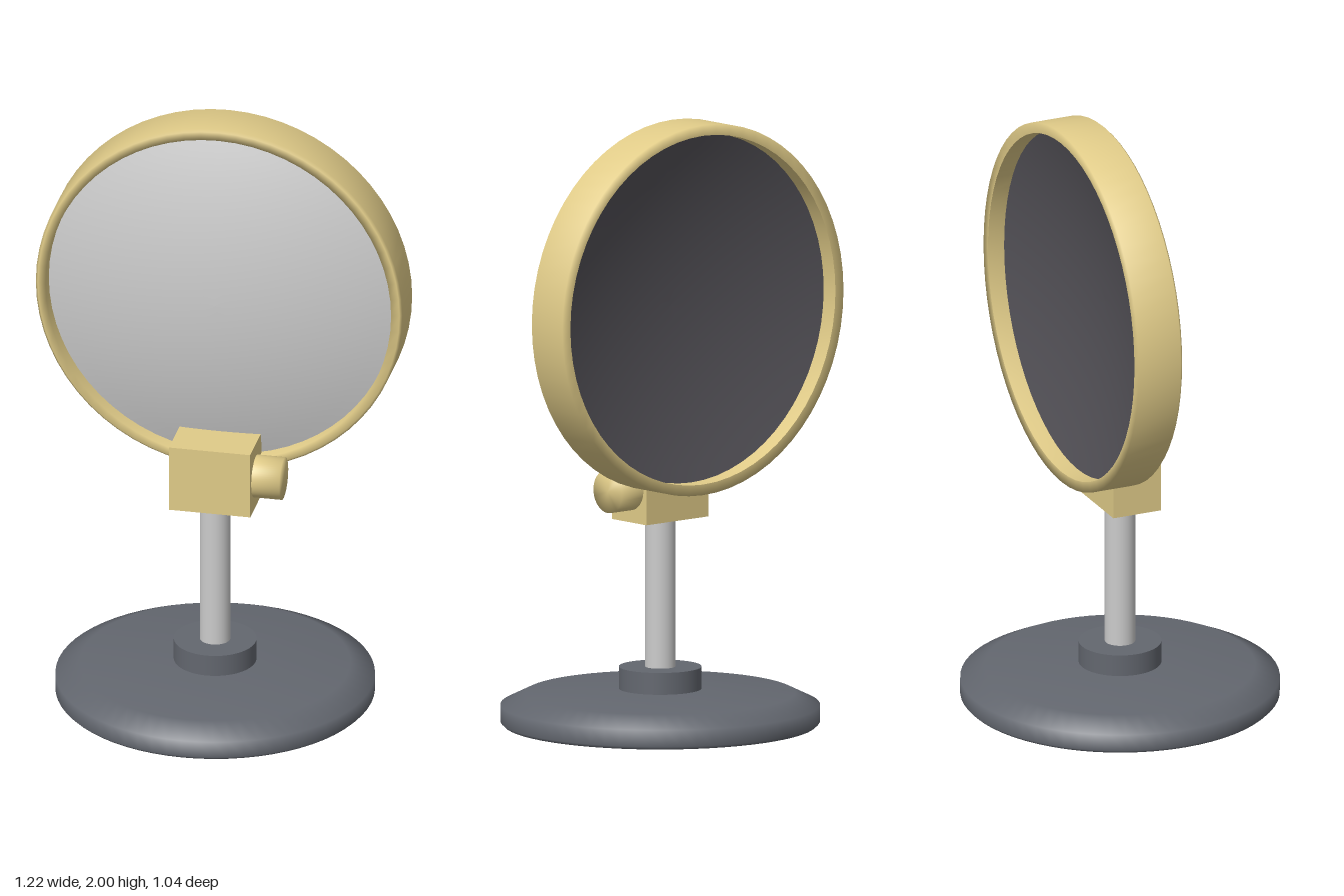
import * as THREE from 'three';

const mat = (color) => new THREE.MeshStandardMaterial({ color });
const SEG = 64;

export function createModel() {
  const group = new THREE.Group();
  const brass = mat(0xe0cb88), dark = mat(0x63676f), backing = mat(0x535157), grey = mat(0xcccccc);

  const add = (name, geometry, material, x = 0, y = 0, z = 0) => {
    const mesh = new THREE.Mesh(geometry, material);
    mesh.name = name;
    mesh.position.set(x, y, z);
    group.add(mesh);
    return mesh;
  };
  const lathe = (points) =>
    new THREE.LatheGeometry(points.map(([r, h]) => new THREE.Vector2(r, h)), SEG);

  // Weighted foot with a bevelled rim and a shallow conical top
  add('base', lathe([
    [0, 0], [0.51, 0], [0.52, 0.01], [0.52, 0.065], [0.44, 0.104], [0.14, 0.118], [0, 0.118],
  ]), dark);
  add('collar', new THREE.CylinderGeometry(0.135, 0.135, 0.09, 48), dark, 0, 0.145, 0);
  add('pole', new THREE.CylinderGeometry(0.05, 0.05, 0.56, 32), grey, 0, 0.45, 0);

  // Pivot block and its tightening knob on the left side
  add('pivotBlock', new THREE.BoxGeometry(0.27, 0.225, 0.17), brass, 0, 0.7925, 0);
  const knob = lathe([[0.07, 0], [0.07, 0.093], [0, 0.093]]);
  knob.rotateZ(-Math.PI / 2);
  add('knob', knob, brass, 0.135, 0.79, 0);

  // Mirror head: hoop, bulging glass and hollow backing share one axis along z
  const headY = 1.39, glassR = 0.578;
  const hoop = lathe([
    [0.575, -0.21], [0.61, -0.21], [0.61, -0.06], [0.602, -0.052],
    [0.575, -0.048], [0.575, -0.21],
  ]);
  const bulge = (r) => -(r * r) / 3.4;
  const steps = Array.from({ length: 13 }, (_, i) => (glassR * i) / 12);
  const glass = lathe(steps.map((r) => [r, bulge(r)]).reverse());
  const back = lathe(steps.map((r) => [r, bulge(r) - 0.055]));
  [['hoop', hoop, brass], ['mirrorGlass', glass, grey], ['mirrorBacking', back, backing]]
    .forEach(([name, geometry, material]) => {
      geometry.rotateX(Math.PI / 2);
      add(name, geometry, material, 0, headY, 0);
    });

  return group;
}
